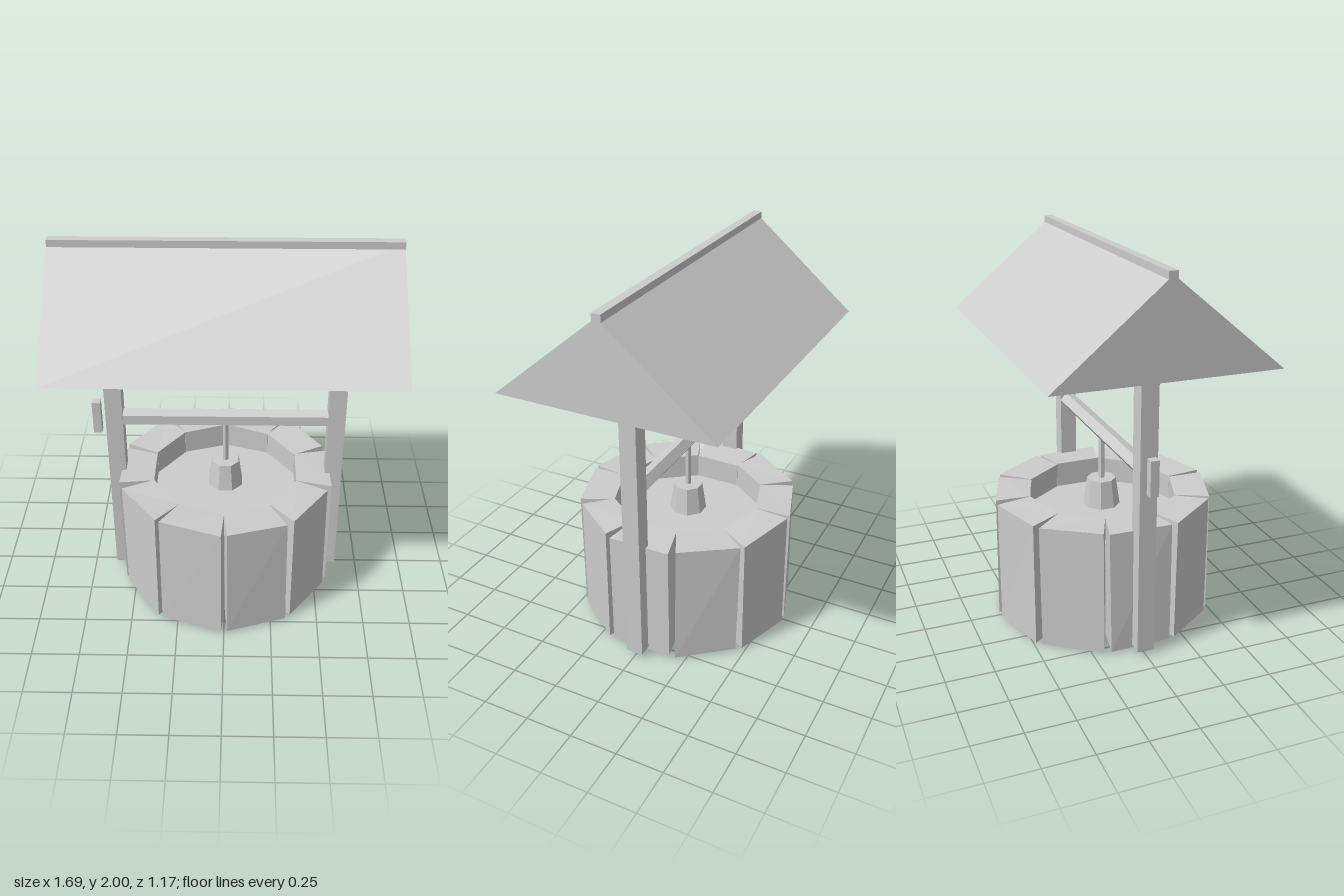
import * as THREE from 'three';

export function createModel() {
  const group = new THREE.Group();
  const grey = new THREE.MeshStandardMaterial({ color: 0xcccccc, flatShading: true });
  grey.name = 'pale grey';

  function add(name, geometry, x = 0, y = 0, z = 0) {
    const mesh = new THREE.Mesh(geometry, grey);
    mesh.name = name;
    mesh.position.set(x, y, z);
    group.add(mesh);
    return mesh;
  }

  // Small seeded jitter for the rough stones
  let seed = 11;
  const jitter = (amount) => {
    seed = (seed * 16807) % 2147483647;
    return (seed / 2147483647 * 2 - 1) * amount;
  };

  // Ring of ten wedge stones, gaps opening towards the outside
  const count = 10, step = Math.PI * 2 / count;
  const inner = 0.4, outer = 0.583;
  function stoneGeometry(mid) {
    const geometry = new THREE.BoxGeometry(1, 1, 1);
    const p = geometry.attributes.position;
    const corners = {};
    for (let i = 0; i < p.count; i++) {
      const sx = Math.sign(p.getX(i)), sy = Math.sign(p.getY(i)), sz = Math.sign(p.getZ(i));
      const key = `${sx},${sy},${sz}`;
      if (!corners[key]) {
        const out = sz > 0;
        const angle = mid + sx * (step / 2 - (out ? 0.032 : 0.002)) + (out ? jitter(0.012) : 0);
        const r = out ? outer + jitter(0.007) : inner;
        const y = (sy > 0 ? 0.67 : 0.008) + jitter(0.007);
        corners[key] = [Math.sin(angle) * r, y, Math.cos(angle) * r];
      }
      p.setXYZ(i, ...corners[key]);
    }
    geometry.computeVertexNormals();
    return geometry;
  }
  for (let i = 0; i < count; i++) add('wallStone', stoneGeometry((i + 0.5) * step));

  // Water surface inside the wall
  add('water', new THREE.CylinderGeometry(0.41, 0.41, 0.008, 20), 0, 0.53, 0);

  // Two posts with chamfered edges
  const h = 0.035;
  const square = new THREE.Shape([[-h, -h], [h, -h], [h, h], [-h, h]].map(([x, y]) => new THREE.Vector2(x, y)));
  const postGeometry = new THREE.ExtrudeGeometry(square, {
    depth: 1.475, bevelEnabled: true, bevelSegments: 1, bevelSize: 0.01, bevelThickness: 0.01,
  }).rotateX(-Math.PI / 2);
  for (const side of [-1, 1]) add('post', postGeometry, side * 0.583, 0.027, 0);

  // Five-sided crossbar between the posts
  add('crossbar', new THREE.CylinderGeometry(0.045, 0.045, 1.1, 5, 1, false, Math.PI).rotateZ(Math.PI / 2), 0, 0.995, 0);

  // Crank handle beside the right post
  add('crankHandle', new THREE.BoxGeometry(0.044, 0.185, 0.044), -0.677, 0.997, 0);

  // Rope and bucket
  add('rope', new THREE.CylinderGeometry(0.017, 0.017, 0.27, 6), 0, 0.85, 0);
  add('bucket', new THREE.CylinderGeometry(0.077, 0.098, 0.15, 8).rotateY(Math.PI / 8), 0, 0.652, 0);

  // Gabled roof as a solid triangular prism
  const gable = new THREE.Shape([[-0.56, 1.515], [0.56, 1.515], [0, 1.983]].map(([x, y]) => new THREE.Vector2(x, y)));
  const roof = new THREE.ExtrudeGeometry(gable, { depth: 1.69, bevelEnabled: false });
  roof.translate(0, 0, -0.845).rotateY(Math.PI / 2);
  add('roof', roof);

  // Ridge beam along the top
  add('ridgeBeam', new THREE.BoxGeometry(1.69, 0.04, 0.046), 0, 1.98, 0);

  return group;
}
